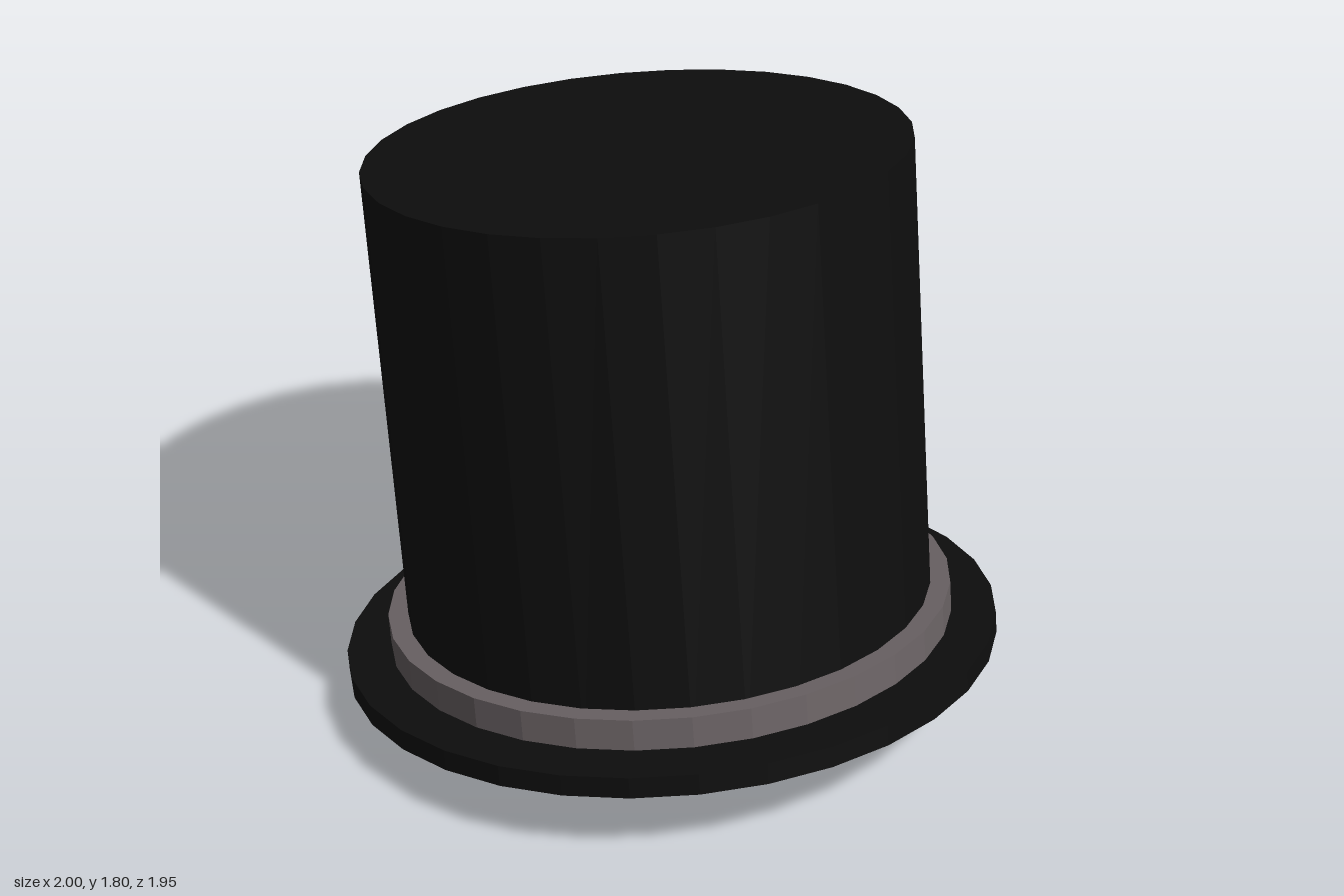
import * as THREE from 'three';

export function createModel() {
  const felt = new THREE.MeshStandardMaterial({ color: 0x0e0e0e, flatShading: true });
  felt.name = 'blackFelt';
  const ribbon = new THREE.MeshStandardMaterial({ color: 0x6b6365, flatShading: true });
  ribbon.name = 'greyRibbon';

  // The hat is tipped backwards around the centre of the brim's underside
  const hat = new THREE.Group();
  hat.name = 'topHat';
  hat.position.set(0, 0.13, 0);
  hat.rotation.x = THREE.MathUtils.degToRad(-7.6);

  // Slightly oval 32-sided disc between two heights along the hat's axis
  function disc(name, radius, bottom, top, material) {
    const geometry = new THREE.CylinderGeometry(radius, radius, top - bottom, 32);
    geometry.rotateY(-0.035);
    geometry.scale(1, 1, 0.977);
    geometry.translate(0, (bottom + top) / 2, 0);
    const mesh = new THREE.Mesh(geometry, material);
    mesh.name = name;
    hat.add(mesh);
  }

  disc('brim', 1.0, 0, 0.064, felt);
  disc('band', 0.864, 0.076, 0.171, ribbon);
  disc('crown', 0.803, 0.03, 1.577, felt);

  const model = new THREE.Group();
  model.name = 'model';
  model.add(hat);
  return model;
}
